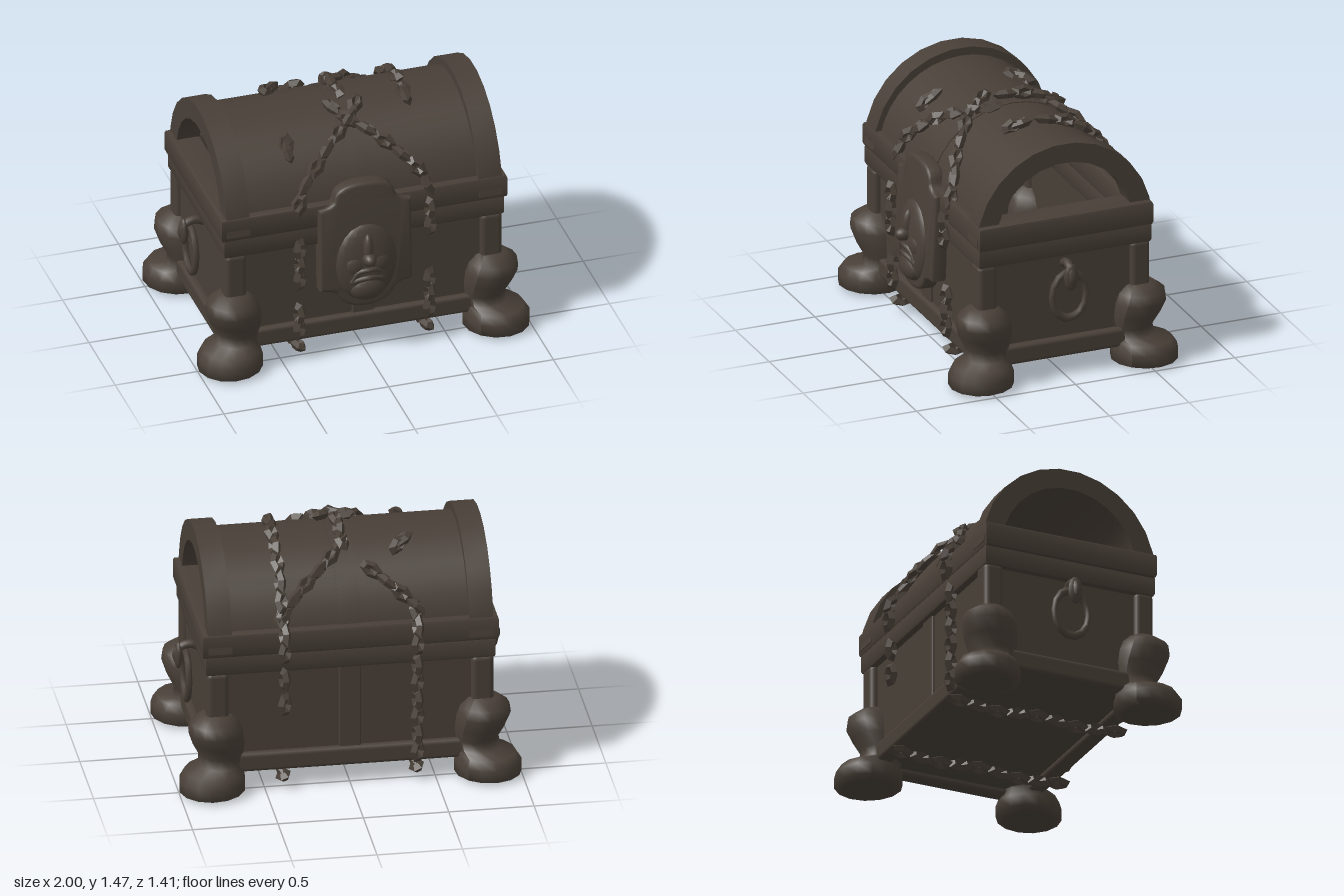
import * as THREE from 'three';
import { toCreasedNormals } from 'three/addons/utils/BufferGeometryUtils.js';
import { RoundedBoxGeometry } from 'three/addons/geometries/RoundedBoxGeometry.js';

const wood = new THREE.MeshStandardMaterial({ color: 0x483f37 });
wood.name = 'darkWood';

export function createModel() {
  const root = new THREE.Group();
  root.name = 'chest';
  const add = (name, geo, x = 0, y = 0, z = 0, parent = root) => {
    const m = new THREE.Mesh(geo, wood);
    m.name = name;
    m.position.set(x, y, z);
    parent.add(m);
    return m;
  };
  const box = (name, w, h, d, x, y, z, r = 0.02) =>
    add(name, new RoundedBoxGeometry(w, h, d, 2, r), x, y, z);

  // Arched band running along x, centred on the lid axis at y = 0.9
  const arch = (name, width, rOut, hOut, rIn, hIn, x, n) => {
    const s = new THREE.Shape();
    for (let i = 0; i <= n; i++) {
      const a = (i / n) * Math.PI;
      s[i ? 'lineTo' : 'moveTo'](rOut * Math.cos(a), hOut * Math.sin(a));
    }
    for (let i = n; i >= 0; i--) {
      const a = (i / n) * Math.PI;
      s.lineTo(rIn * Math.cos(a), hIn * Math.sin(a));
    }
    const g = new THREE.ExtrudeGeometry(s, { depth: width, bevelEnabled: false });
    g.translate(0, 0, -width / 2).rotateY(-Math.PI / 2);
    add(name, toCreasedNormals(g, 0.6), x, 0.9, 0);
  };
  arch('lidShell', 1.44, 0.515, 0.51, 0.48, 0.475, 0, 18);
  arch('lidCentreStrap', 0.13, 0.52, 0.515, 0.5, 0.495, 0, 18);
  for (const s of [-1, 1]) arch('lidEndArch', 0.14, 0.55, 0.56, 0.43, 0.44, s * 0.765, 13);

  // Hollow rectangular rims where lid and body meet
  const rim = (name, hx, hz, y0, y1) => {
    const rect = (p, a, b) => p.moveTo(-a, -b).lineTo(a, -b).lineTo(a, b).lineTo(-a, b).lineTo(-a, -b);
    const b = 0.02;
    const s = rect(new THREE.Shape(), hx - b, hz - b);
    s.holes.push(rect(new THREE.Path(), 0.71, 0.45));
    const g = new THREE.ExtrudeGeometry(s, {
      depth: y1 - y0 - 2 * b, bevelThickness: b, bevelSize: b, bevelSegments: 2,
    });
    g.rotateX(-Math.PI / 2);
    add(name, toCreasedNormals(g, 0.7), 0, y0 + b, 0);
  };
  rim('lidRim', 0.867, 0.545, 0.87, 1.02);
  rim('bodyRim', 0.848, 0.54, 0.755, 0.89);

  // Body: walls, floor, corner posts and bottom rails
  box('floor', 1.6, 0.04, 0.98, 0, 0.18, 0, 0.01);
  for (const s of [-1, 1]) {
    box('longWall', 1.56, 0.62, 0.05, 0, 0.48, s * 0.475, 0.01);
    box('endWall', 0.05, 0.62, 0.94, s * 0.785, 0.48, 0, 0.01);
    box('centrePlank', 0.13, 0.6, 0.03, 0, 0.47, s * 0.5, 0.01);
    box('longRail', 1.5, 0.12, 0.1, 0, 0.185, s * 0.485, 0.025);
    box('endRail', 0.1, 0.12, 0.9, s * 0.8, 0.185, 0, 0.025);
    for (const t of [-1, 1]) box('cornerPost', 0.13, 0.6, 0.12, s * 0.775, 0.47, t * 0.48, 0.03);
  }

  // Bulging legs with feet pushed outward: radius, height, outward shift, side squeeze
  const legRings = [
    [0, 0.01, 0.05, 0.95], [0.15, 0.01, 0.05, 0.95], [0.2, 0.03, 0.045, 0.95], [0.2, 0.1, 0.045, 0.95],
    [0.175, 0.15, 0.035, 0.95], [0.13, 0.17, -0.03, 1], [0.128, 0.23, -0.04, 1.05], [0.15, 0.31, -0.015, 1.05],
    [0.162, 0.39, 0.01, 1], [0.145, 0.45, 0.02, 1], [0.09, 0.495, 0.01, 1], [0, 0.505, 0, 1],
  ];
  const legGeo = new THREE.LatheGeometry(legRings.map(([r, y]) => new THREE.Vector2(r, y)), 14);
  const p = legGeo.attributes.position;
  for (let i = 0; i < p.count; i++) {
    const [, , shift, squeeze] = legRings[i % legRings.length];
    p.setX(i, p.getX(i) + shift);
    p.setZ(i, p.getZ(i) * squeeze);
  }
  legGeo.computeVertexNormals();
  for (const sx of [-1, 1]) for (const sz of [-1, 1]) {
    add('leg', legGeo, sx * 0.775, 0, sz * 0.48).rotation.y = -Math.atan2(sz, sx);
  }

  // Ring handles hanging from hooked drops
  for (const s of [-1, 1]) {
    const g = new THREE.Group();
    g.name = 'sideHandle';
    g.scale.x = s;
    root.add(g);
    const ring = add('handleRing', new THREE.TorusGeometry(0.108, 0.02, 8, 14), 0.88, 0.525, -0.01, g);
    ring.rotation.y = Math.PI / 2;
    ring.scale.y = 1.33;
    const hook = new THREE.CatmullRomCurve3([[0.8, 0.7], [0.86, 0.722], [0.92, 0.7], [0.935, 0.65], [0.915, 0.61]]
      .map(([x, y]) => new THREE.Vector3(x, y, -0.005)));
    add('handleHook', new THREE.TubeGeometry(hook, 10, 0.026, 8), 0, 0, 0, g);
    add('handleDrop', new THREE.SphereGeometry(1, 10, 8), 0.925, 0.655, -0.005, g).scale.set(0.025, 0.085, 0.045);
  }

  // Front lock plate, leaning back slightly at the top
  const lock = new THREE.Group();
  lock.name = 'lock';
  lock.position.set(-0.005, 0, 0.545);
  lock.rotation.x = -0.05;
  root.add(lock);
  const plate = new THREE.Shape();
  plate.moveTo(0, 0.35).quadraticCurveTo(0.13, 0.355, 0.16, 0.44)
    .quadraticCurveTo(0.18, 0.47, 0.26, 0.48).lineTo(0.26, 0.975)
    .quadraticCurveTo(0.17, 0.985, 0.16, 1.055).quadraticCurveTo(0.145, 1.115, 0, 1.115)
    .quadraticCurveTo(-0.145, 1.115, -0.16, 1.055).quadraticCurveTo(-0.17, 0.985, -0.26, 0.975)
    .lineTo(-0.26, 0.48).quadraticCurveTo(-0.18, 0.47, -0.16, 0.44)
    .quadraticCurveTo(-0.13, 0.355, 0, 0.35);
  const plateGeo = new THREE.ExtrudeGeometry(plate, {
    depth: 0.06, bevelThickness: 0.02, bevelSize: 0.02, bevelSegments: 3, curveSegments: 6,
  });
  add('lockPlate', toCreasedNormals(plateGeo, 0.7), 0, 0, 0, lock);

  // Soft scowling face on the plate
  const blob = (name, x, y, z, a, b, c) =>
    add(name, new THREE.SphereGeometry(1, 18, 12), x, y, z, lock).scale.set(a, b, c);
  blob('faceBulge', 0, 0.62, 0.07, 0.19, 0.25, 0.06);
  blob('chin', 0, 0.46, 0.085, 0.11, 0.08, 0.055);
  blob('noseBridge', 0, 0.715, 0.115, 0.032, 0.1, 0.04);
  blob('noseTip', 0, 0.665, 0.14, 0.04, 0.04, 0.055);
  for (const s of [-1, 1]) blob('cheek', s * 0.07, 0.62, 0.085, 0.075, 0.08, 0.048);
  const lip = (name, h) => {
    const c = new THREE.CatmullRomCurve3([[-0.1, 0.515], [-0.06, h], [0, h + 0.012], [0.06, h], [0.1, 0.515]]
      .map(([x, y]) => new THREE.Vector3(x, y, 0.135 - Math.abs(x) * 0.25)));
    add(name, new THREE.TubeGeometry(c, 12, 0.015, 6), 0, 0, 0, lock);
  };
  lip('upperLip', 0.58);
  lip('lowerLip', 0.53);

  // Chains: chunky faceted links along a path, alternating quarter turns
  const linkGeo = toCreasedNormals(new THREE.TorusGeometry(0.032, 0.026, 4, 6).scale(0.85, 1.4, 1), 0.1);
  linkGeo.rotateX(Math.PI / 2);
  const chain = (name, pts, step = 0.115) => {
    const g = new THREE.Group();
    g.name = name;
    root.add(g);
    const curve = new THREE.CatmullRomCurve3(pts.map((q) => new THREE.Vector3(...q)));
    const n = Math.max(1, Math.round(curve.getLength() / step));
    for (let i = 0; i <= n; i++) {
      const at = curve.getPointAt(i / n);
      const link = add('chainLink', linkGeo, at.x, at.y, at.z, g);
      link.lookAt(at.clone().add(curve.getTangentAt(i / n)));
      link.rotateZ((i % 2) * Math.PI / 2 + 0.4);
    }
  };
  const onLid = (x, deg, r = 0.53) => {
    const a = (deg * Math.PI) / 180;
    return [x, 0.9 + r * Math.sin(a), r * Math.cos(a)];
  };
  const upright = (name, x, z, y0, y1) => chain(name, [[x, y0, z], [x, y1, z]]);
  upright('frontLeftChain', 0.39, 0.555, 0.23, 0.42);
  upright('frontLeftChain', 0.39, 0.57, 0.79, 0.9);
  upright('frontRightChain', -0.4, 0.555, 0.22, 0.32);
  upright('frontRightChain', -0.4, 0.565, 0.56, 0.76);
  upright('backLeftChain', 0.39, -0.565, 0.56, 0.72);
  upright('backRightChain', -0.39, -0.55, 0.2, 0.75);
  for (const s of [-1, 1]) {
    const x = s * 0.39;
    chain('rimChain', [[x, 0.9, -0.58], [x, 0.98, -0.575], onLid(x, 160)]);
    chain('underChain', [[x, 0.08, 0.5], [x, 0.06, 0.25], [x, 0.08, 0], [x, 0.06, -0.25], [x, 0.08, -0.5]], 0.13);
    // Front pair crosses over near the crown
    chain('frontDiagonalChain', [[0.39, 14], [0.35, 24], [0.24, 38], [0.12, 52], [-0.02, 66], [-0.07, 75]]
      .map(([w, d]) => onLid(s * w, d, 0.535)));
  }
  chain('backLeftDiagonalChain', [[0.39, 158], [0.26, 142], [0.12, 127], [0.01, 113]].map(([x, d]) => onLid(x, d)));
  chain('backRightDiagonalChain', [[-0.39, 158], [-0.27, 145], [-0.15, 133]].map(([x, d]) => onLid(x, d)));
  chain('crownChain', [112, 100, 88].map((d) => onLid(0, d, 0.545)), 0.1);
  chain('leftLidChain', [150, 130, 110, 98].map((d) => onLid(0.39, d)), 0.12);
  chain('leftLidLink', [[0.38, 1.42, 0.08], [0.38, 1.41, 0.13]]);
  chain('rightLidLink', [[-0.36, 1.39, -0.2], [-0.32, 1.375, -0.24]]);
  chain('rightLidLink', [[-0.4, 1.32, 0.3], [-0.4, 1.29, 0.34]]);
  return root;
}
